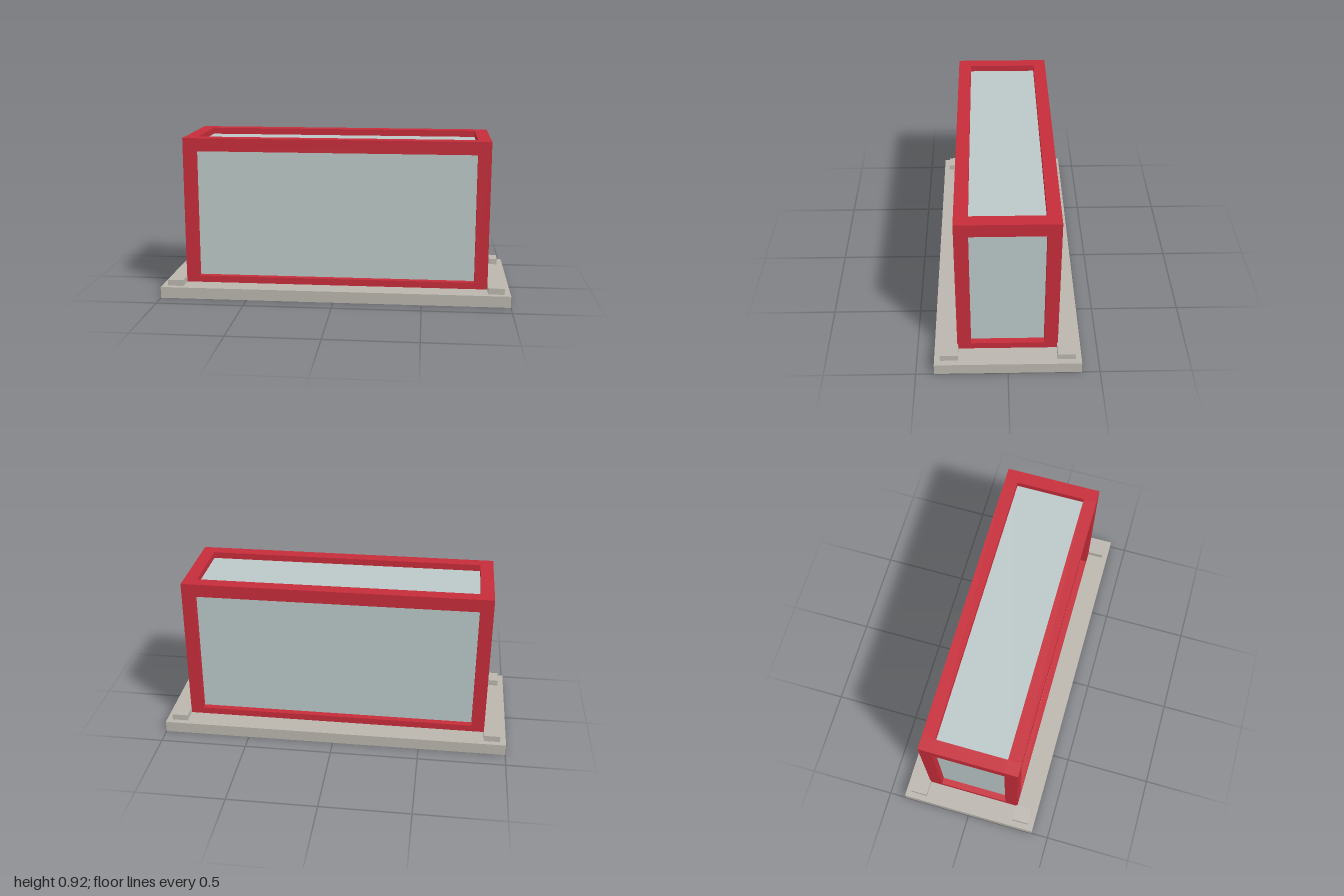
import * as THREE from 'three';

export function createModel() {
  const model = new THREE.Group();
  const mat = (name, color) => {
    const m = new THREE.MeshStandardMaterial({ color });
    m.name = name;
    return m;
  };
  const red = mat('red frame', 0xc62d3a);
  const glass = mat('pale glass', 0xbac8c7);
  const stone = mat('warm grey stone', 0xbab6ae);

  // box given by its lower and upper corners
  const box = (name, material, [x0, y0, z0], [x1, y1, z1], parent = model) => {
    const mesh = new THREE.Mesh(new THREE.BoxGeometry(x1 - x0, y1 - y0, z1 - z0), material);
    mesh.position.set((x0 + x1) / 2, (y0 + y1) / 2, (z0 + z1) / 2);
    mesh.name = name;
    parent.add(mesh);
  };

  const X = 0.875, Z = 0.275;        // outer half sizes of the frame
  const x = 0.8, z = 0.2;            // half sizes of the openings
  const baseTop = 0.065, sill = 0.103, head = 0.84, top = 0.915;
  const inset = 0.037;               // depth of the glass behind the frame

  box('base', stone, [-1, 0, -0.4], [1, baseTop, 0.4]);

  // corner pads on the base
  for (const sx of [-1, 1]) for (const sz of [-1, 1]) {
    const cx = sx * 0.92, cz = sz * 0.319;
    box('cornerPad', stone, [cx - 0.046, baseTop, cz - 0.049], [cx + 0.046, 0.1, cz + 0.049]);
  }

  // frame: four posts with rails between them
  const frame = new THREE.Group();
  frame.name = 'frame';
  model.add(frame);
  const span = (s, inner, outer) => (s > 0 ? [inner, outer] : [-outer, -inner]);
  for (const s of [-1, 1]) {
    const [xa, xb] = span(s, x, X);
    const [za, zb] = span(s, z, Z);
    for (const t of [-1, 1]) {
      const [pa, pb] = span(t, z, Z);
      box('post', red, [xa, baseTop, pa], [xb, top, pb], frame);
    }
    for (const [name, y0, y1] of [['bottomRail', baseTop, sill], ['topRail', head, top]]) {
      box(name, red, [-x, y0, za], [x, y1, zb], frame);
      box(name, red, [xa, y0, -z], [xb, y1, z], frame);
    }
  }

  // glass body recessed in the frame
  box('glass', glass, [-X + inset, baseTop + 0.01, -Z + inset], [X - inset, top - inset, Z - inset]);

  return model;
}
